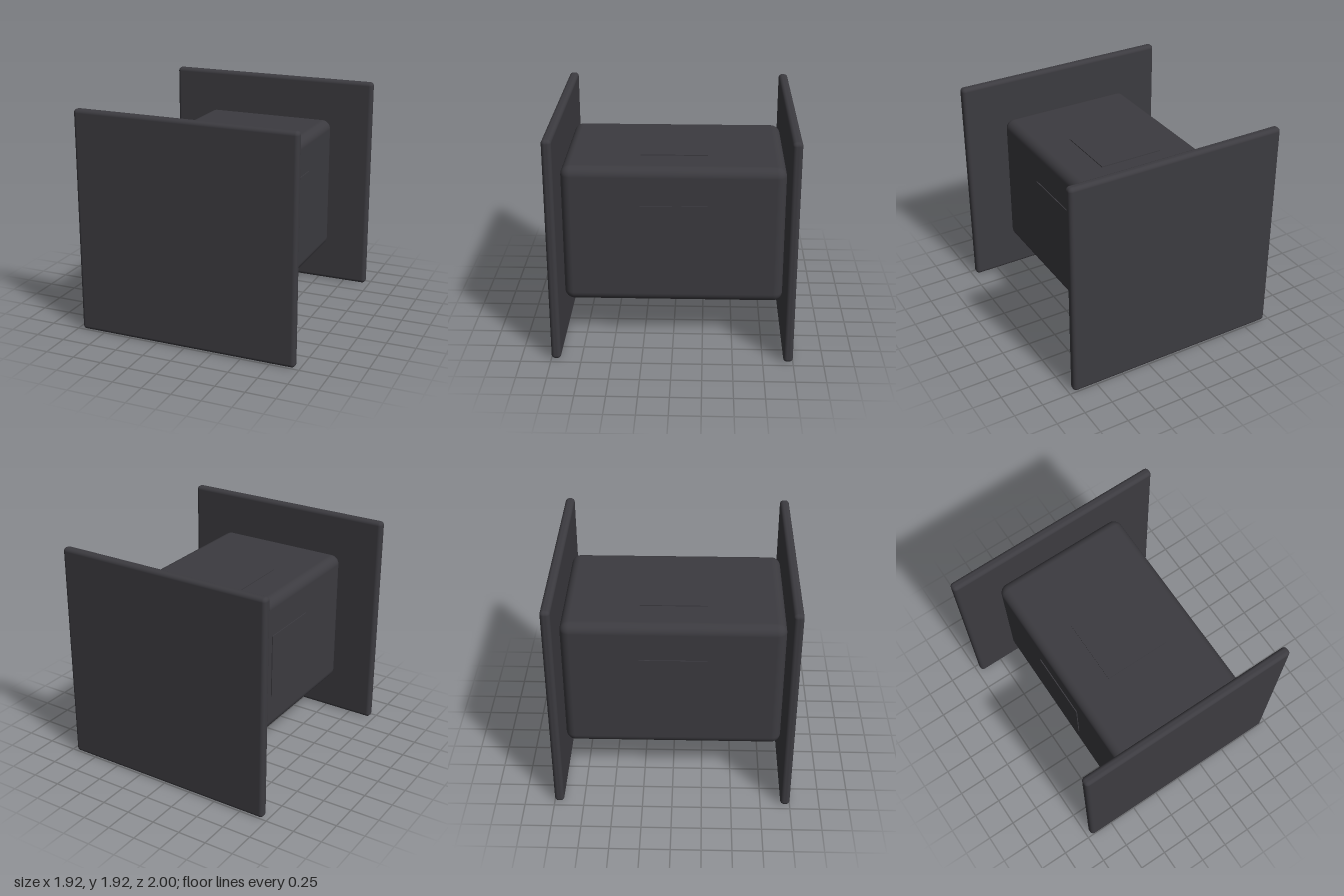
import * as THREE from 'three';
import { RoundedBoxGeometry } from 'three/addons/geometries/RoundedBoxGeometry.js';

export function createModel() {
  const group = new THREE.Group();
  const charcoal = new THREE.MeshStandardMaterial({ color: 0x3c3b40 });
  charcoal.name = 'charcoal';
  const midY = 0.96;

  function add(name, geometry, x, y, z) {
    const mesh = new THREE.Mesh(geometry, charcoal);
    mesh.name = name;
    mesh.position.set(x, y, z);
    group.add(mesh);
    return mesh;
  }

  // Rounded central body
  add('body', new RoundedBoxGeometry(1.2, 1.2, 1.84, 6, 0.08), 0, midY, 0);

  // Large square end panels, front and back
  const panel = new RoundedBoxGeometry(1.92, 1.92, 0.08, 5, 0.032);
  add('frontPanel', panel, 0, midY, 0.96);
  add('backPanel', panel, 0, midY, -0.96);

  // Thin square plates standing slightly proud of the four body sides
  const plate = new THREE.BoxGeometry(0.56, 0.009, 0.56);
  ['topPlate', 'rightPlate', 'bottomPlate', 'leftPlate'].forEach((name, i) => {
    const a = (i * Math.PI) / 2;
    const r = 0.6035;
    add(name, plate, -Math.sin(a) * r, midY + Math.cos(a) * r, 0).rotation.z = a;
  });

  return group;
}
